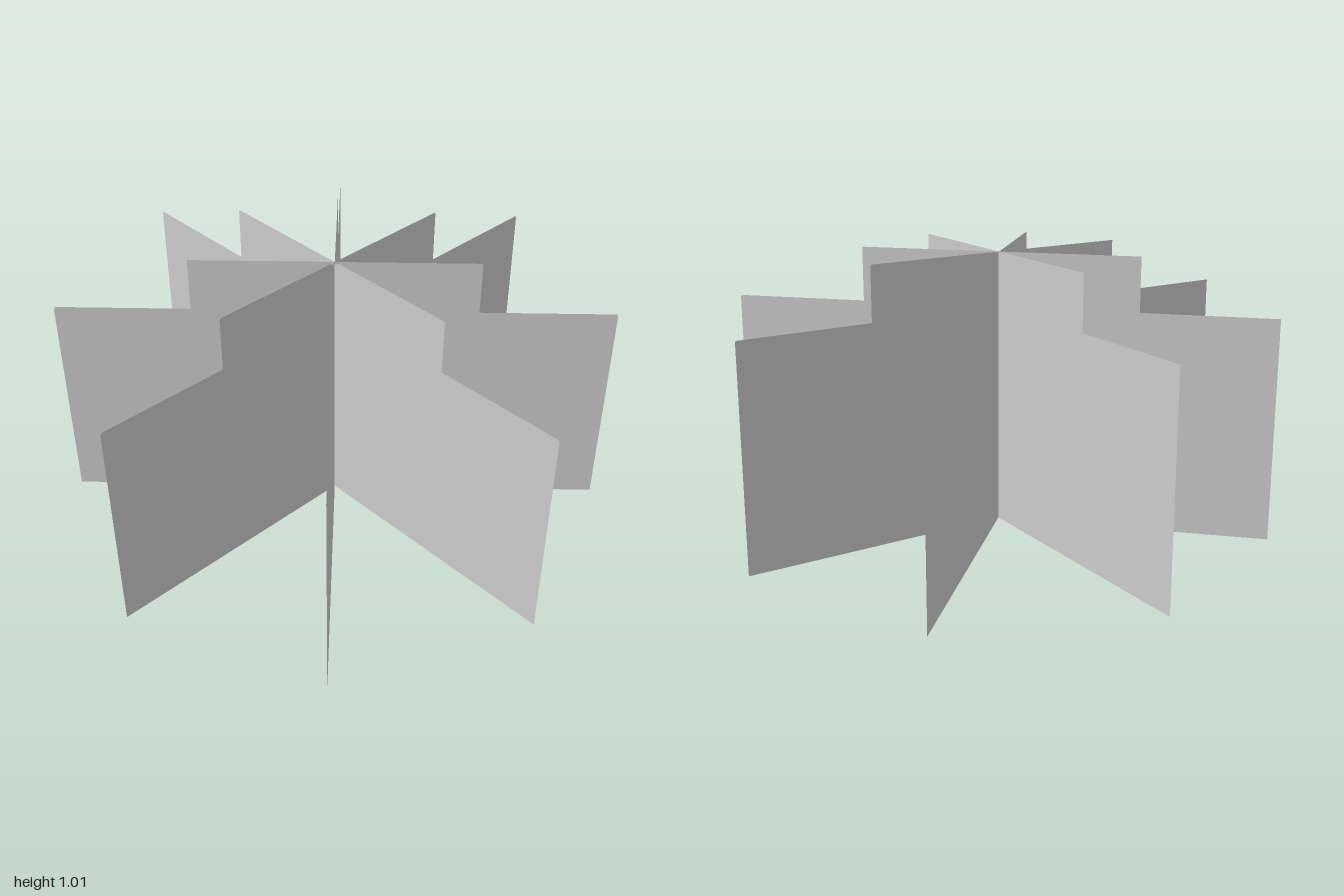
import * as THREE from 'three';

const REACH = 0.994;     // half width of a card
const STEP = 0.508;      // half width of its raised middle
const SHOULDER = 0.81;   // height of the outer part
const TOP = 1.01;        // height of the raised middle
const GAP = 0.012;       // distance between the two layers

// Upright stepped card, symmetric about the central axis
function cardGeometry() {
  const half = [[REACH, 0], [REACH, SHOULDER], [STEP, SHOULDER], [STEP, TOP]];
  const mirrored = half.map(([x, y]) => [-x, y]).reverse();
  const outline = [...half, ...mirrored].map(([x, y]) => new THREE.Vector2(x, y));
  return new THREE.ShapeGeometry(new THREE.Shape(outline));
}

export function createModel() {
  const model = new THREE.Group();
  model.name = 'crossedCards';
  const material = new THREE.MeshStandardMaterial({ color: 0xcccccc, side: THREE.DoubleSide });
  const geometry = cardGeometry();

  // Two closely spaced layers, each a star of four crossing cards
  for (const side of [1, -1]) {
    const layer = new THREE.Group();
    layer.name = side > 0 ? 'frontLayer' : 'backLayer';
    layer.position.z = side * GAP / 2;
    for (let i = 0; i < 4; i++) {
      const card = new THREE.Mesh(geometry, material);
      card.name = `card${i + 1}`;
      card.rotation.y = i * Math.PI / 4;
      layer.add(card);
    }
    model.add(layer);
  }
  return model;
}
